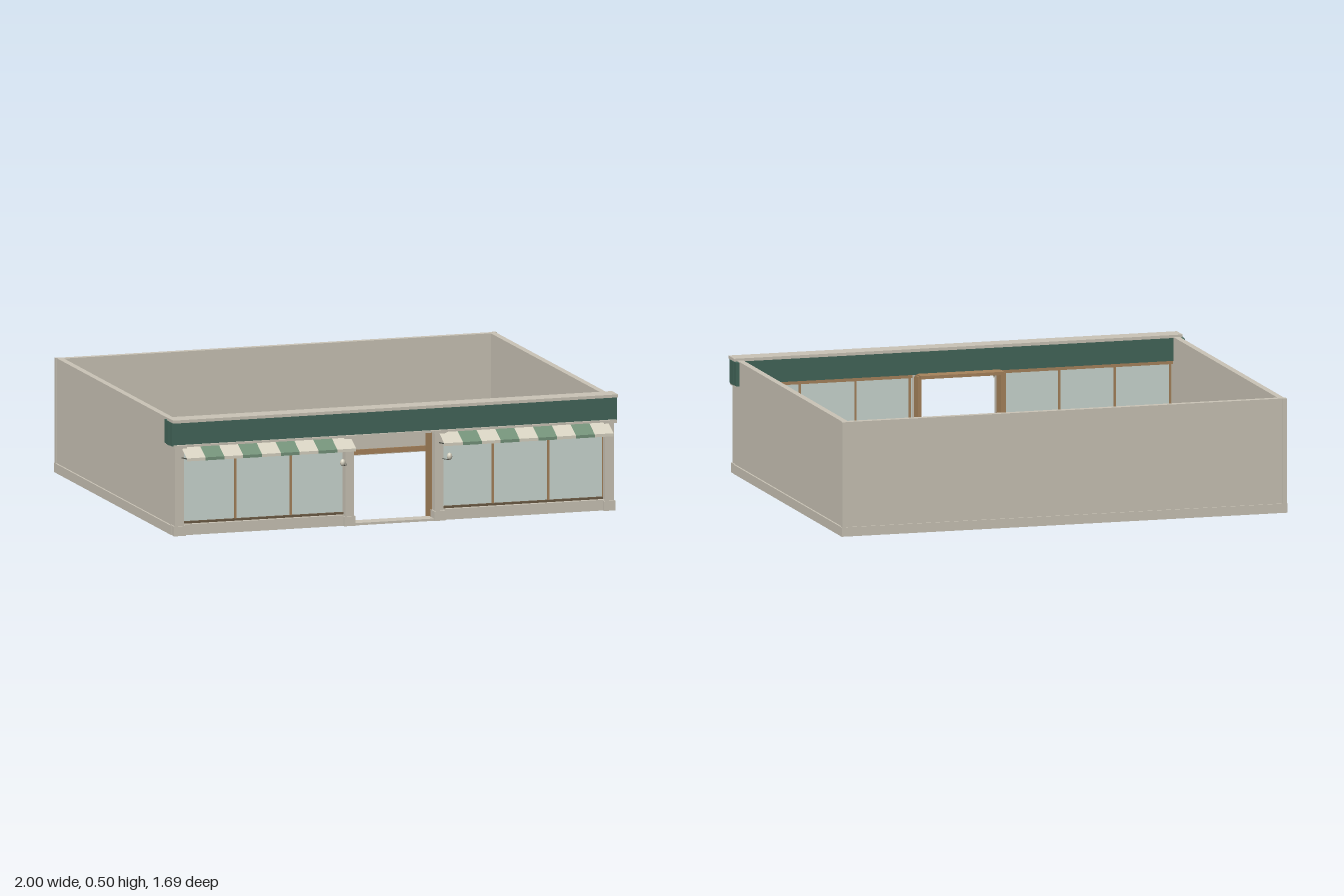
import * as THREE from 'three';

const mat = (color) => new THREE.MeshStandardMaterial({ color });
const M = {
  stone: mat(0xcbc5b7), green: mat(0x43665a), glass: mat(0xccd9d3), wood: mat(0xa8845c),
  dark: mat(0x6b5a44), cream: mat(0xd8d3c2), stripe: mat(0x74937a), metal: mat(0x55584f),
};
M.cream.side = M.stripe.side = THREE.DoubleSide;

// Box given by its minimum and maximum on each axis
function block(parent, name, m, x0, x1, y0, y1, z0, z1) {
  const mesh = new THREE.Mesh(new THREE.BoxGeometry(x1 - x0, y1 - y0, z1 - z0), m);
  mesh.position.set((x0 + x1) / 2, (y0 + y1) / 2, (z0 + z1) / 2);
  mesh.name = name;
  parent.add(mesh);
  return mesh;
}

// Same box on one side of the building, s = 1 or -1
function sideBlock(parent, name, m, s, x0, x1, ...yz) {
  return s > 0 ? block(parent, name, m, x0, x1, ...yz) : block(parent, name, m, -x1, -x0, ...yz);
}

function group(parent, name) {
  const g = new THREE.Group();
  g.name = name;
  parent.add(g);
  return g;
}

// Striped cloth: each stripe is a sloping strip with a short hanging valance
function addAwning(parent, s) {
  const awning = group(parent, 'awning');
  const n = 9, x0 = s > 0 ? 0.197 : -0.955, w = 0.758 / n;
  const profile = [[0.382, 0.772], [0.347, 0.845], [0.334, 0.845]];
  for (let i = 0; i < n; i++) {
    const g = new THREE.PlaneGeometry(w, 1, 1, 2).toNonIndexed();
    const p = g.attributes.position;
    for (let k = 0; k < p.count; k++) {
      const [y, z] = profile[Math.round((0.5 - p.getY(k)) * 2)];
      p.setXYZ(k, p.getX(k) + x0 + (i + 0.5) * w, y, z);
    }
    g.computeVertexNormals();
    const strip = new THREE.Mesh(g, i % 2 ? M.stripe : M.cream);
    strip.name = 'awningStripe';
    awning.add(strip);
  }
  // support arms and front rail
  for (const x of [x0 + 0.004, x0 + 0.754]) {
    const arm = block(awning, 'awningArm', M.metal, x - 0.002, x + 0.002, 0.338, 0.342, 0.765, 0.845);
    arm.rotation.x = -0.1;
  }
  block(awning, 'awningRail', M.metal, x0, x0 + 0.758, 0.343, 0.346, 0.841, 0.844);
}

function addPilaster(parent, s, x0, x1) {
  const g = group(parent, 'pilaster');
  sideBlock(g, 'pilasterShaft', M.stone, s, x0, x1, 0.04, 0.38, 0.725, 0.768);
  sideBlock(g, 'pilasterBase', M.stone, s, x0 - 0.006, x1 + 0.006, 0, 0.042, 0.72, 0.774);
  sideBlock(g, 'pilasterCapital', M.stone, s, x0 - 0.008, x1 + 0.008, 0.378, 0.392, 0.72, 0.782);
}

function addWindow(parent, s) {
  const g = group(parent, 'shopWindow');
  sideBlock(g, 'windowSillWall', M.stone, s, 0.185, 0.978, 0, 0.046, 0.70, 0.76);
  sideBlock(g, 'windowGlass', M.glass, s, 0.2, 0.955, 0.05, 0.385, 0.722, 0.728);
  sideBlock(g, 'bottomRail', M.dark, s, 0.2, 0.955, 0.046, 0.055, 0.71, 0.74);
  sideBlock(g, 'topRail', M.wood, s, 0.2, 0.955, 0.375, 0.39, 0.71, 0.74);
  for (const x of [0.212, 0.452, 0.7, 0.945])
    sideBlock(g, 'mullion', M.wood, s, x - 0.004, x + 0.004, 0.05, 0.38, 0.712, 0.738);
}

function addLamp(parent, s) {
  const lamp = group(parent, 'wallLamp');
  const globe = new THREE.Mesh(new THREE.SphereGeometry(0.0115, 16, 12), M.cream);
  globe.scale.y = 1.35;
  globe.position.set(s * 0.239, 0.279, 0.791);
  globe.name = 'lampGlobe';
  lamp.add(globe);
  const path = new THREE.CatmullRomCurve3([
    [0.215, 0.268, 0.766], [0.222, 0.266, 0.782], [0.239, 0.266, 0.791],
  ].map(([x, y, z]) => new THREE.Vector3(s * x, y, z)));
  const arm = new THREE.Mesh(new THREE.TubeGeometry(path, 10, 0.002, 8), M.metal);
  arm.name = 'lampArm';
  lamp.add(arm);
}

export function createModel() {
  const shop = new THREE.Group();
  shop.name = 'shop';

  // Roofless shell: back wall, plinth and skirting
  const shell = group(shop, 'shell');
  block(shell, 'backWall', M.stone, -0.982, 0.982, 0, 0.493, -0.84, -0.812);
  block(shell, 'backPlinth', M.stone, -0.99, 0.99, 0, 0.04, -0.846, -0.82);
  block(shell, 'backSkirting', M.wood, -0.955, 0.955, 0.004, 0.026, -0.813, -0.806);

  // Side walls, windows and everything mirrored
  for (const s of [-1, 1]) {
    sideBlock(shell, 'sideWall', M.stone, s, 0.955, 0.982, 0, 0.493, -0.813, 0.725);
    sideBlock(shell, 'sidePlinth', M.stone, s, 0.96, 0.99, 0, 0.04, -0.846, 0.735);
    sideBlock(shell, 'sideSkirting', M.wood, s, 0.948, 0.956, 0.004, 0.026, -0.81, 0.70);
    sideBlock(shell, 'cornerTrim', M.stone, s, 0.97, 0.987, 0.04, 0.4935, -0.844, -0.828);
    addPilaster(shop, s, 0.942, 0.982);
    addPilaster(shop, s, 0.182, 0.22);
    addWindow(shop, s);
    addAwning(shop, s);
    addLamp(shop, s);
  }

  // Sign board across the front with end returns, cornice and lower moulding
  const fascia = group(shop, 'fascia');
  block(fascia, 'fasciaBoard', M.green, -0.99, 0.99, 0.39, 0.49, 0.702, 0.768);
  block(fascia, 'cornice', M.stone, -0.996, 0.996, 0.489, 0.502, 0.70, 0.784);
  block(fascia, 'lowerMoulding', M.stone, -0.99, 0.99, 0.383, 0.392, 0.72, 0.778);
  for (const s of [-1, 1]) {
    sideBlock(fascia, 'fasciaReturn', M.green, s, 0.978, 0.996, 0.388, 0.489, 0.67, 0.77);
    sideBlock(fascia, 'fasciaEndStrip', M.green, s, 0.99, 1, 0.388, 0.49, 0.7, 0.737);
  }

  // Open doorway with wooden lining
  const door = group(shop, 'doorway');
  block(door, 'threshold', M.stone, -0.19, 0.19, 0, 0.01, 0.70, 0.768);
  block(door, 'doorHead', M.wood, -0.185, 0.185, 0.38, 0.394, 0.642, 0.76);
  for (const s of [-1, 1]) {
    sideBlock(door, 'doorJamb', M.wood, s, 0.178, 0.19, 0.01, 0.382, 0.70, 0.728);
    sideBlock(door, 'doorCasing', M.wood, s, 0.176, 0.192, 0, 0.388, 0.658, 0.70);
  }
  return shop;
}
